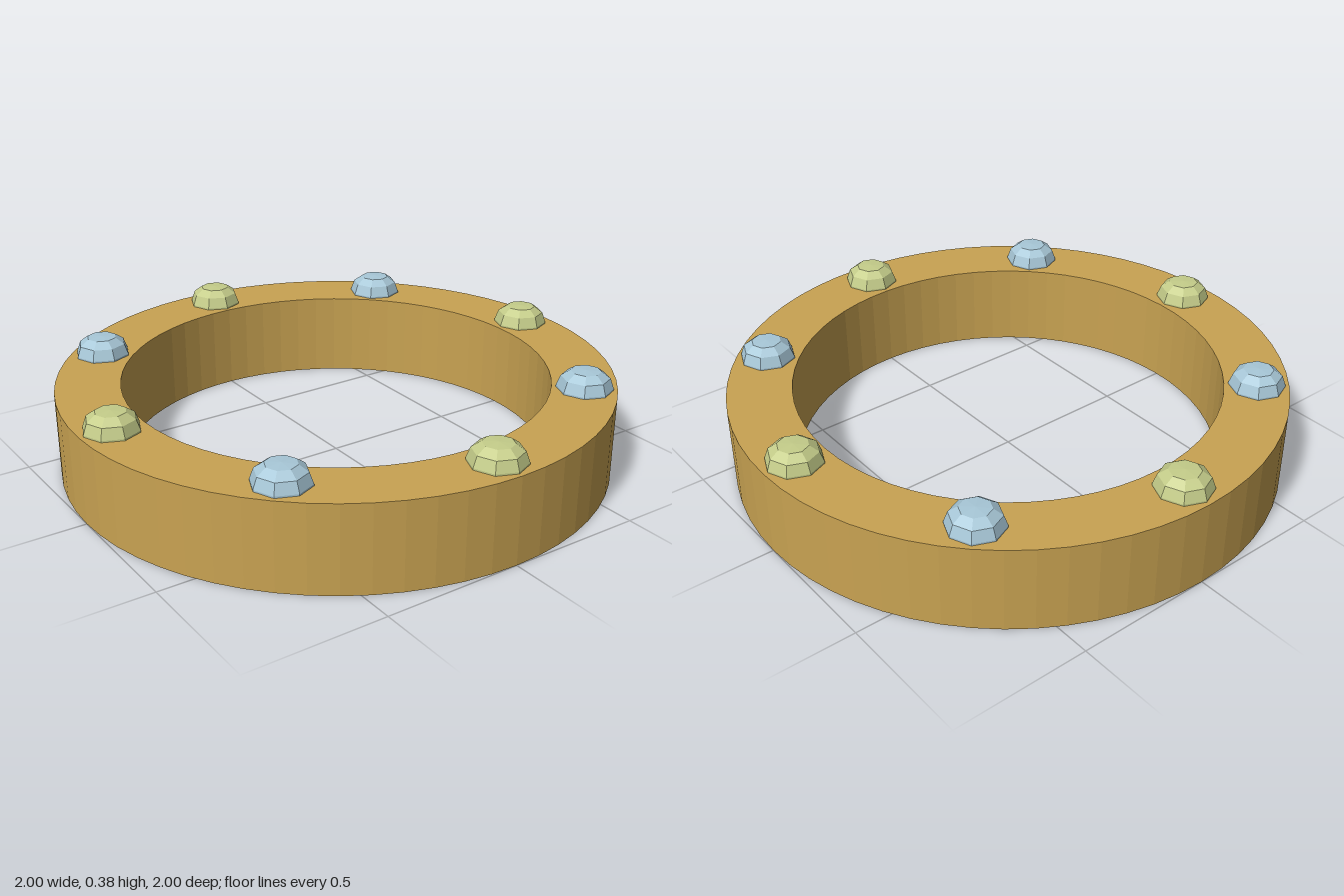
import * as THREE from 'three';

const material = (name, color) => {
  const m = new THREE.MeshStandardMaterial({ color, flatShading: true });
  m.name = name;
  return m;
};

export function createModel() {
  const gold = material('gold', 0xc9a352);
  const yellow = material('pale yellow green', 0xc5cd8a);
  const blue = material('pale blue', 0xa8c8d8);
  const model = new THREE.Group();
  model.name = 'jewelledRing';

  const height = 0.315, inner = 0.77, outer = 1;

  // Flat band with a rectangular section
  const section = [[outer, 0], [outer, height], [inner, height], [inner, 0], [outer, 0]]
    .map(([r, y]) => new THREE.Vector2(r, y));
  const band = new THREE.Mesh(new THREE.LatheGeometry(section, 64), gold);
  band.name = 'band';
  model.add(band);

  // Eight-sided cut gem: girdle, shoulder, crown and a nearly flat table
  const cut = [[0.1, -0.01], [0.1, 0.006], [0.086, 0.044], [0.054, 0.067], [0, 0.07]]
    .map(([r, y]) => new THREE.Vector2(r, y));
  const gemGeometry = new THREE.LatheGeometry(cut, 8);

  // Alternating gems around the top of the band
  for (let i = 0; i < 8; i++) {
    const angle = (i * Math.PI) / 4;
    const gem = new THREE.Mesh(gemGeometry, i % 2 ? blue : yellow);
    gem.name = i % 2 ? 'blueGem' : 'yellowGem';
    gem.position.set(Math.cos(angle) * 0.885, height, Math.sin(angle) * 0.885);
    gem.rotation.y = -angle;
    model.add(gem);
  }
  return model;
}
